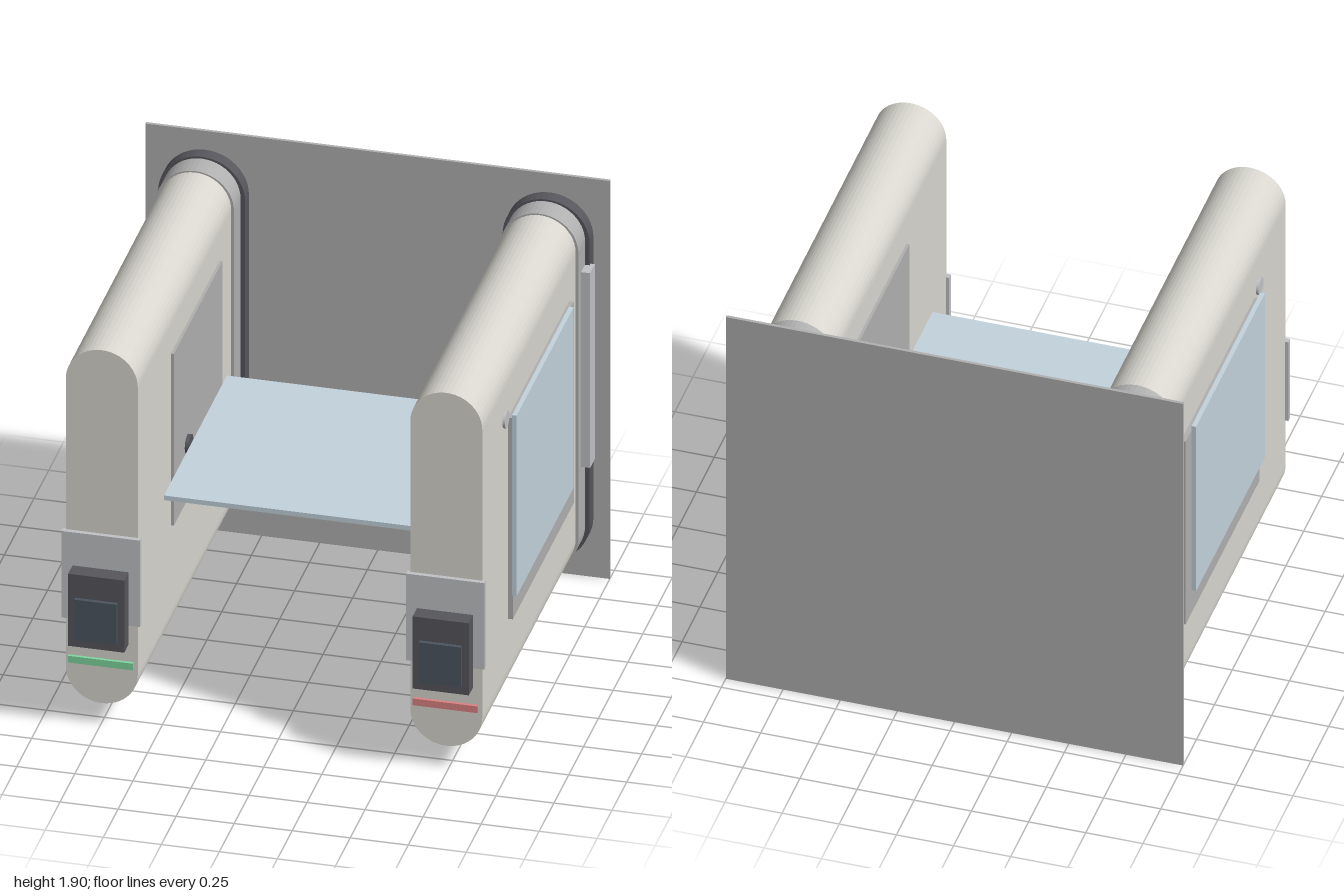
import * as THREE from 'three';

const mat = (color) => new THREE.MeshStandardMaterial({ color });
const ivory = mat(0xd8d6cf), grey = mat(0xb0b0b0), lightGrey = mat(0xc0c2c5);
const dark = mat(0x56565c), screenBlue = mat(0x4a5460), paleBlue = mat(0xc3d2dc);
const green = mat(0x7fd6a0), red = mat(0xdc8282);

const POD_X = 0.742, MID_Y = 0.953;

// Box given by its limits on each axis
function box(name, material, [x0, x1], [y0, y1], [z0, z1]) {
  const mesh = new THREE.Mesh(new THREE.BoxGeometry(Math.abs(x1 - x0), y1 - y0, z1 - z0), material);
  mesh.position.set((x0 + x1) / 2, (y0 + y1) / 2, (z0 + z1) / 2);
  mesh.name = name;
  return mesh;
}

// Upright capsule outline extruded along z
function capsule(name, material, width, height, z0, z1) {
  const r = width / 2, h = height / 2 - r;
  const shape = new THREE.Shape();
  shape.absarc(0, h, r, 0, Math.PI, false);
  shape.absarc(0, -h, r, Math.PI, Math.PI * 2, false);
  shape.closePath();
  const geometry = new THREE.ExtrudeGeometry(shape, { depth: z1 - z0, bevelEnabled: false, curveSegments: 12 });
  const mesh = new THREE.Mesh(geometry, material);
  mesh.position.set(0, MID_Y, z0);
  mesh.name = name;
  return mesh;
}

// Thin disc facing sideways
function disc(name, material, radius, x0, x1, y, z) {
  const mesh = new THREE.Mesh(new THREE.CylinderGeometry(radius, radius, Math.abs(x1 - x0), 24), material);
  mesh.rotation.z = Math.PI / 2;
  mesh.position.set((x0 + x1) / 2, y, z);
  mesh.name = name;
  return mesh;
}

// One gate pod; side is +1 for the left pod and -1 for the right pod
function createPod(side) {
  const pod = new THREE.Group();
  pod.name = side > 0 ? 'leftPod' : 'rightPod';
  pod.position.x = side * POD_X;
  const out = (a, b) => [side * (a - POD_X), side * (b - POD_X)];

  // Shell and its two rear collars
  pod.add(
    capsule('podBody', ivory, 0.31, 1.685, -0.93, 0.826),
    capsule('greyCollar', grey, 0.335, 1.698, -0.93, -0.75),
    capsule('darkCollar', dark, 0.375, 1.715, -0.93, -0.861),
  );

  // Outer face: backing panel, glass, knob and rear handle
  pod.add(
    box('outerPanel', grey, out(0.885, 0.918), [0.505, 1.465], [-0.64, 0.393]),
    box('outerGlass', paleBlue, out(0.918, 0.938), [0.625, 1.487], [-0.557, 0.406]),
    disc('outerKnob', lightGrey, 0.038, ...out(0.885, 0.908), 1.487, 0.447),
    box('rearHandle', lightGrey, out(0.9, 0.948), [0.592, 1.522], [-0.876, -0.795]),
  );

  // Inner face: panel and shelf hinge
  pod.add(
    box('innerPanel', grey, out(0.574, 0.6), [0.68, 1.5], [-0.555, 0.268]),
    disc('shelfHinge', dark, 0.042, ...out(0.558, 0.576), 0.95, 0.042),
  );

  // Front face: reader unit and status light
  pod.add(
    box('readerPlate', lightGrey, [-0.169, 0.169], [0.507, 0.92], [0.82, 0.846]),
    box('readerHousing', dark, [-0.121, 0.121], [0.418, 0.762], [0.846, 0.92]),
    box('readerScreen', screenBlue, [-0.091, 0.091], [0.46, 0.652], [0.92, 0.938]),
    box('statusLight', side > 0 ? red : green, [-0.14, 0.14], [0.298, 0.33], [0.836, 0.85]),
  );
  return pod;
}

export function createModel() {
  const model = new THREE.Group();
  model.name = 'gate';

  // Rear wall with a low strip, and the shelf between the pods
  model.add(
    box('backPlate', grey, [-1, 1], [0, 1.9], [-0.938, -0.924]),
    box('lowerStrip', lightGrey, [-0.6, 0.6], [0.125, 0.2], [-0.93, -0.92]),
    box('shelf', paleBlue, [-0.552, 0.552], [0.942, 0.964], [-0.542, 0.522]),
  );

  for (const side of [-1, 1]) model.add(createPod(side));
  return model;
}
